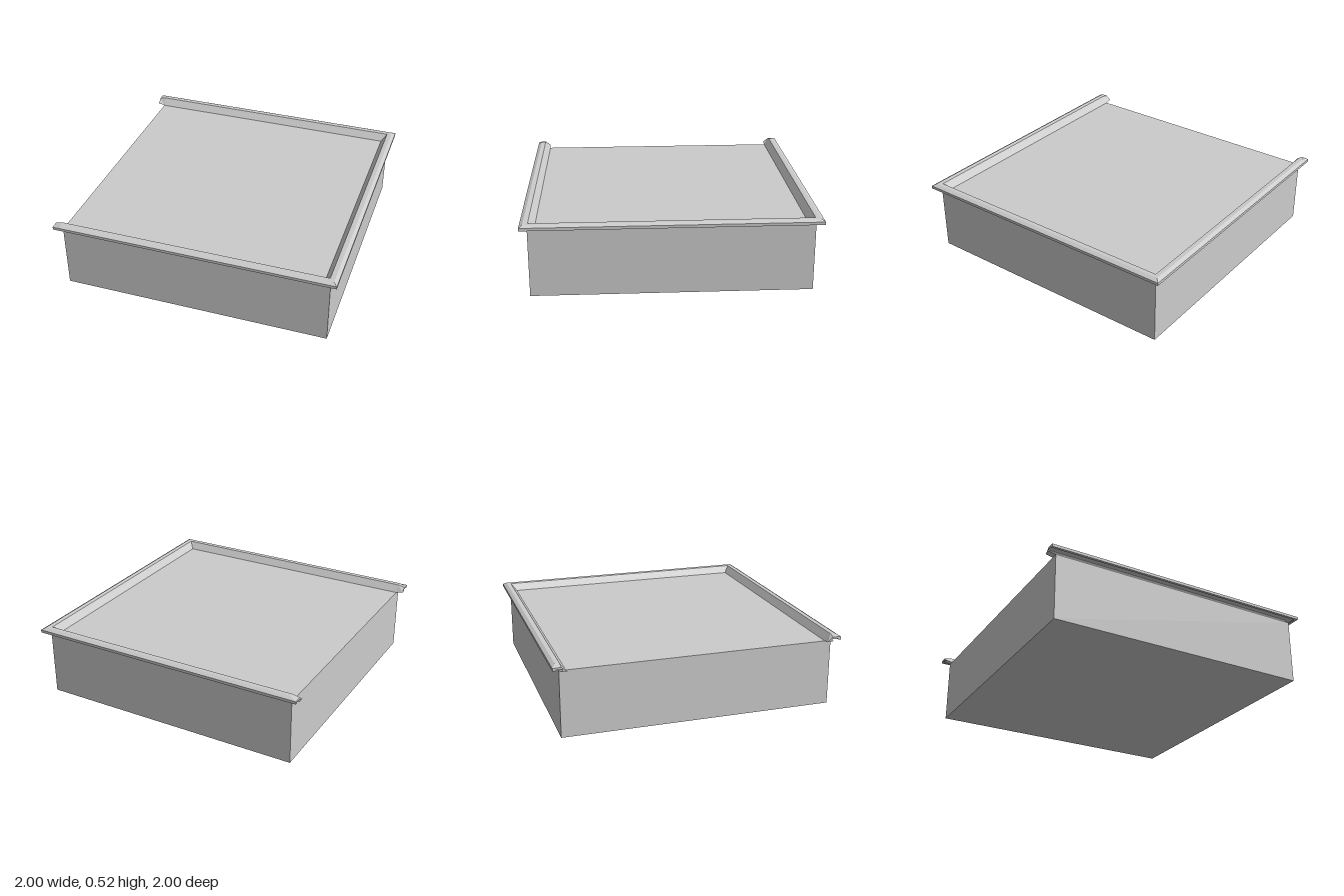
import * as THREE from 'three';

const BODY = 1.9, BODY_HEIGHT = 0.465;

// Rim cross-section: [distance from centre, height], from inner foot over the top to the underside
const PROFILE = [
  [0.905, 0.465], [0.943, 0.515], [0.975, 0.517], [1, 0.503], [1, 0.483],
  [0.982, 0.483], [0.98, 0.49], [0.935, 0.49], [0.935, 0.483], [0.95, 0.465],
];

// Stations along the U-shaped rim; the open ends are slightly flattened, the corners mitred
function rimRings() {
  const ring = (x, side, flatten) => PROFILE.map(([d, y]) => new THREE.Vector3(
    x ?? d,
    flatten ? THREE.MathUtils.clamp(y, 0.475, 0.505) : y,
    side * d));
  return [
    ring(-1, 1, true), ring(-0.95, 1), ring(null, 1),
    ring(null, -1), ring(-0.95, -1), ring(-1, -1, true),
  ];
}

function rimGeometry() {
  const rings = rimRings();
  const n = PROFILE.length;
  const points = [];

  // Skin between neighbouring stations
  for (let s = 0; s < rings.length - 1; s++) {
    for (let i = 0; i < n; i++) {
      const j = (i + 1) % n;
      const a = rings[s][i], b = rings[s][j], c = rings[s + 1][j], d = rings[s + 1][i];
      points.push(a, b, c, a, c, d);
    }
  }

  // End caps
  const outline = PROFILE.map(([d, y]) => new THREE.Vector2(d, y));
  for (const face of THREE.ShapeUtils.triangulateShape(outline, [])) {
    const ccw = THREE.ShapeUtils.area(face.map((i) => outline[i])) > 0;
    const [a, b, c] = ccw ? face : [...face].reverse();
    const first = rings[0], last = rings[rings.length - 1];
    points.push(first[a], first[b], first[c], last[c], last[b], last[a]);
  }

  const geometry = new THREE.BufferGeometry().setFromPoints(points);
  geometry.computeVertexNormals();
  return geometry;
}

export function createModel() {
  const model = new THREE.Group();
  model.name = 'rimmedBlock';
  const material = new THREE.MeshStandardMaterial({ color: 0xcccccc, flatShading: true });

  // Square block
  const body = new THREE.Mesh(new THREE.BoxGeometry(BODY, BODY_HEIGHT, BODY), material);
  body.name = 'body';
  body.position.y = BODY_HEIGHT / 2;
  model.add(body);

  // Raised rim on three sides, open towards -x
  const rim = new THREE.Mesh(rimGeometry(), material);
  rim.name = 'rim';
  model.add(rim);

  return model;
}
